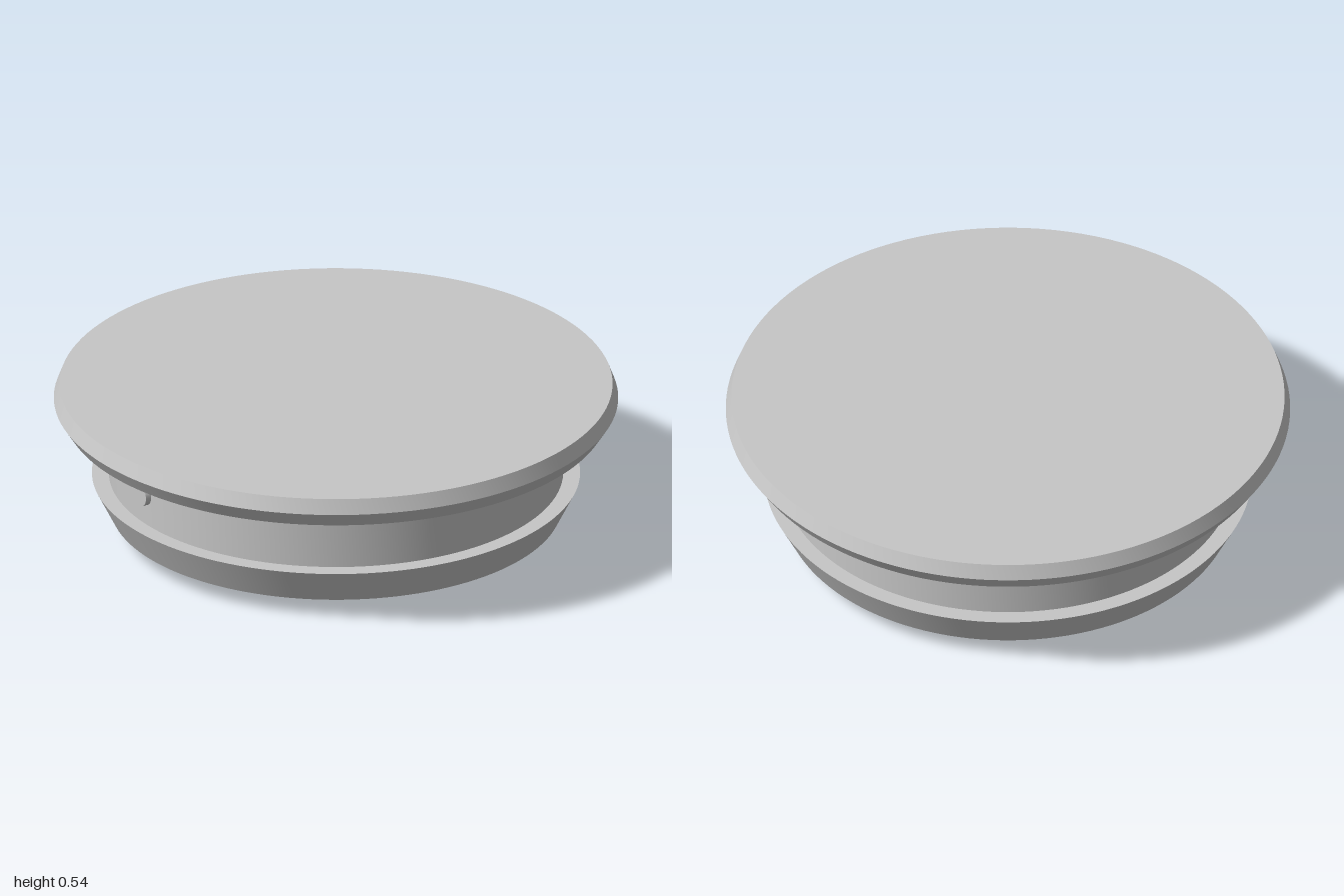
import * as THREE from 'three';
import { toCreasedNormals } from 'three/addons/utils/BufferGeometryUtils.js';

export function createModel() {
  const group = new THREE.Group();
  const grey = new THREE.MeshStandardMaterial({ color: 0xc6c6c6 });
  grey.name = 'plain grey';

  const add = (name, geometry) => {
    const mesh = new THREE.Mesh(geometry, grey);
    mesh.name = name;
    group.add(mesh);
    return mesh;
  };

  // Turned part with crisp edges; the profile runs from bottom to top as [radius, y]
  const turned = (name, profile) => {
    const points = profile.map(([r, y]) => new THREE.Vector2(r, y));
    return add(name, toCreasedNormals(new THREE.LatheGeometry(points, 128), 0.35));
  };

  // Round foot under the base
  turned('foot', [[0, 0], [0.42, 0], [0.43, 0.045]]);

  // Flared base with a shallow conical underside and a flat upper ledge
  turned('base', [[0.43, 0.045], [0.8, 0.065], [0.865, 0.195], [0.805, 0.195]]);

  // Straight neck between base and lid
  turned('neck', [[0.805, 0.195], [0.805, 0.43]]);

  // Wide lid with a bevelled rim
  turned('lid', [[0.805, 0.43], [0.963, 0.43], [1, 0.487], [0.98, 0.54], [0, 0.54]]);

  // Small round pins on both sides of the neck
  for (const side of [1, -1]) {
    const pin = add(side > 0 ? 'leftPin' : 'rightPin', new THREE.CylinderGeometry(0.04, 0.04, 0.04, 32));
    pin.rotation.z = -side * Math.PI / 2;
    pin.position.set(side * 0.806, 0.31, 0);
  }

  return group;
}
